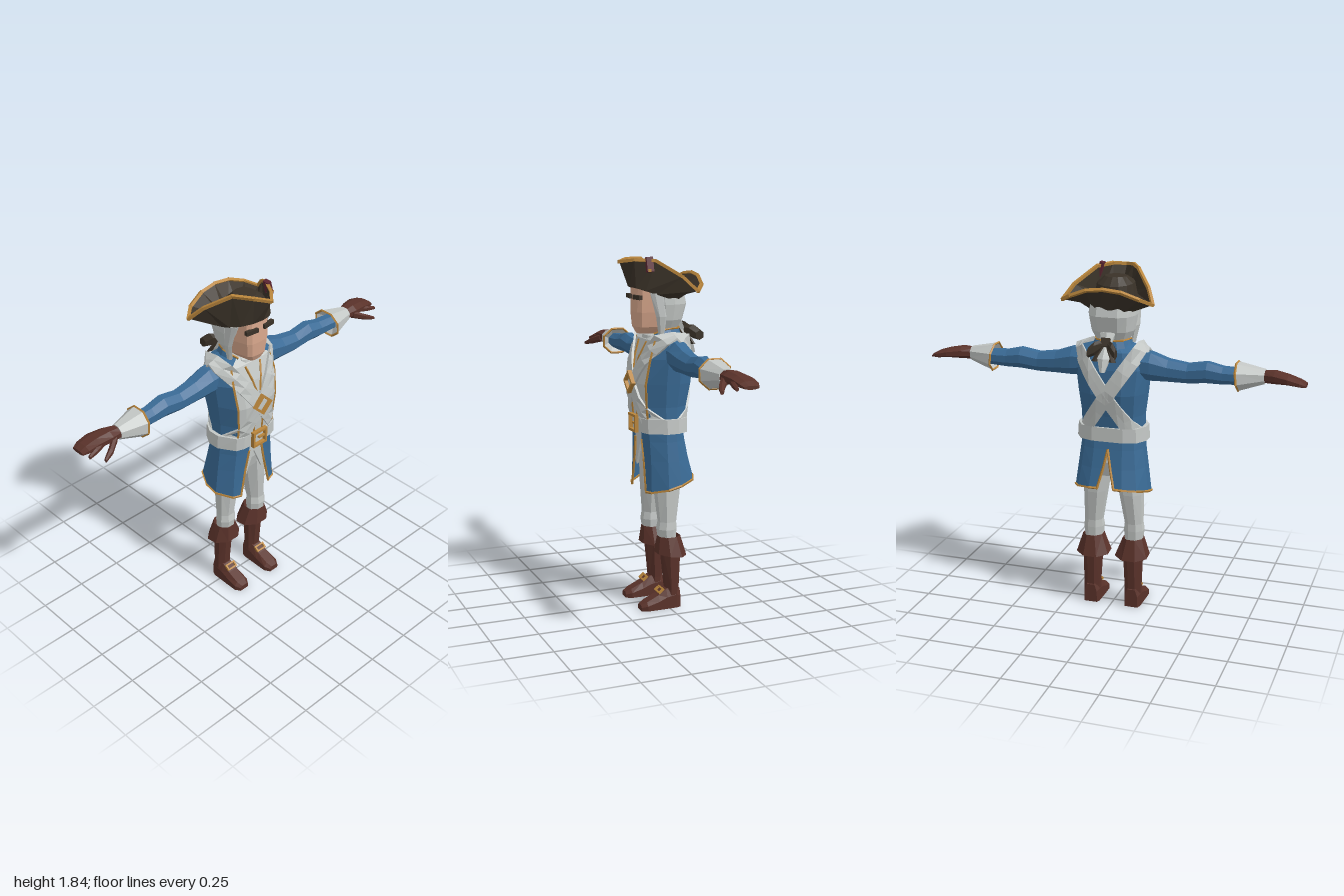
import * as THREE from 'three';
import { mergeGeometries } from 'three/addons/utils/BufferGeometryUtils.js';

const material = (name, color, double) => {
  const m = new THREE.MeshStandardMaterial({ color, flatShading: true });
  m.name = name;
  if (double) m.side = THREE.DoubleSide;
  return m;
};

// Triangles from rings of [x, y, z]; closed solids are turned to face outwards
function loft(rings, { closed = true, caps = true } = {}) {
  const tris = [], n = rings[0].length;
  for (let r = 0; r + 1 < rings.length; r++) {
    for (let i = 0; i < (closed ? n : n - 1); i++) {
      const j = (i + 1) % n, a = rings[r], b = rings[r + 1];
      tris.push([a[i], a[j], b[j]], [a[i], b[j], b[i]]);
    }
  }
  if (closed && caps) {
    const cap = (ring, flip) => {
      const c = [0, 1, 2].map(k => ring.reduce((s, p) => s + p[k], 0) / n);
      ring.forEach((p, i) => {
        const q = ring[(i + 1) % n];
        tris.push(flip ? [c, q, p] : [c, p, q]);
      });
    };
    cap(rings[0], true);
    cap(rings[rings.length - 1], false);
  }
  const V = p => new THREE.Vector3(...p);
  const volume = tris.reduce((s, t) => s + V(t[0]).dot(V(t[1]).cross(V(t[2]))), 0);
  if (closed && volume < 0) tris.forEach(t => t.reverse());
  const g = new THREE.BufferGeometry();
  g.setAttribute('position', new THREE.Float32BufferAttribute(tris.flat(2), 3));
  g.computeVertexNormals();
  return g;
}

// Mirror copy across x with the corner order put right
function mirrored(geo) {
  const g = geo.index ? geo.toNonIndexed() : geo.clone();
  const p = g.attributes.position, a = new THREE.Vector3(), b = new THREE.Vector3();
  g.scale(-1, 1, 1);
  for (let i = 0; i < p.count; i += 3) {
    a.fromBufferAttribute(p, i + 1); b.fromBufferAttribute(p, i + 2);
    p.setXYZ(i + 1, b.x, b.y, b.z); p.setXYZ(i + 2, a.x, a.y, a.z);
  }
  g.computeVertexNormals();
  return g;
}

// Thin four-sided piping along a polyline
function cord(points, r = 0.007) {
  const parts = [], up = new THREE.Vector3(0, 1, 0);
  for (let i = 0; i + 1 < points.length; i++) {
    const a = new THREE.Vector3(...points[i]), d = new THREE.Vector3(...points[i + 1]).sub(a);
    const g = new THREE.CylinderGeometry(r, r, d.length() + r * 0.6, 4);
    g.applyQuaternion(new THREE.Quaternion().setFromUnitVectors(up, d.clone().normalize()));
    g.translate(a.x + d.x / 2, a.y + d.y / 2, a.z + d.z / 2);
    parts.push(g);
  }
  return mergeGeometries(parts);
}

const circle = (n, f) => Array.from({ length: n }, (_, i) => f(((i + 0.5) / n) * Math.PI * 2));
const ringY = (y, cx, cz, rx, rz, n = 8) =>
  circle(n, t => [cx + rx * 1.06 * Math.cos(t), y, cz + rz * 1.06 * Math.sin(t)]);
const ringX = (x, cy, cz, ry, rz, n = 8) =>
  circle(n, t => [x, cy + ry * 1.06 * Math.sin(t), cz + rz * 1.06 * Math.cos(t)]);

// Body cross-section: half outline from front to back, then the mirrored half
const FRONT = [[0, 1], [0.5, 0.97], [0.72, 0.85], [1, 0.2]];
const BACK = [[0, 1], [0.45, 1], [0.8, 0.8], [1, 0.3]];
const halfSec = ([y, hx, zf, zb]) => [
  ...FRONT.map(([x, z]) => [x * hx, y, z * zf]),
  ...BACK.slice().reverse().map(([x, z]) => [x * hx, y, z * zb])];
const section = row => {
  const h = halfSec(row);
  return [...h, ...h.slice(1, -1).reverse().map(([x, y, z]) => [-x, y, z])];
};
const TORSO = [[0.95, 0.165, 0.12, -0.1], [1.08, 0.165, 0.135, -0.12], [1.2, 0.18, 0.145, -0.145],
  [1.33, 0.195, 0.12, -0.14], [1.42, 0.18, 0.085, -0.12], [1.45, 0.09, 0.05, -0.08]];

// Depth of the torso surface at x, y
function torsoZ(x, y, back) {
  y = THREE.MathUtils.clamp(y, 0.95, 1.42);
  const i = Math.min(TORSO.findIndex(r => r[0] >= y - 1e-6) || 1, 4), a = TORSO[i - 1], b = TORSO[i];
  const t = (y - a[0]) / (b[0] - a[0]), mix = k => a[k] + (b[k] - a[k]) * t;
  const f = Math.min(Math.abs(x) / mix(1), 1), tab = back ? BACK : FRONT;
  const j = Math.max(1, tab.findIndex(p => p[0] >= f - 1e-6)), p = tab[j - 1], q = tab[j];
  return mix(back ? 3 : 2) * (p[1] + ((q[1] - p[1]) * (f - p[0])) / (q[0] - p[0]));
}

function frame(w, h, bar, depth) {
  const box = (a, b, P) => new P([[-a, -b], [a, -b], [a, b], [-a, b]].map(p => new THREE.Vector2(...p)));
  const s = box(w, h, THREE.Shape);
  s.holes.push(box(w - bar, h - bar, THREE.Path));
  return new THREE.ExtrudeGeometry(s, { depth, bevelEnabled: false });
}

export function createModel() {
  const root = new THREE.Group();
  root.name = 'uniformedFigure';
  const blue = material('coatBlue', 0x3a6b96, true), white = material('paleCloth', 0xc3c7c5, true);
  const gold = material('goldTrim', 0xba863c), leather = material('brownLeather', 0x5a322a);
  const dark = material('darkFelt', 0x3a3228), skin = material('skin', 0xd8a78c);
  const maroon = material('maroon', 0x5c2632);
  const add = (name, geo, mat) => {
    const m = new THREE.Mesh(geo, mat);
    m.name = name;
    root.add(m);
    return m;
  };
  const pair = (name, geo, mat) => {
    add(name + 'Left', geo, mat);
    add(name + 'Right', mirrored(geo), mat);
  };

  // Coat body and waistcoat
  const rows = TORSO.map(section);
  add('coatBody', loft(rows.map(r => r.slice(2, 13)), { closed: false }), blue);
  add('waistcoat', loft(rows.map(r => [r[12], r[13], r[0], r[1], r[2]]), { closed: false }), white);
  pair('lapelTrim', cord(rows.slice(0, 5).map(r => r[2])), gold);
  const onChest = (x, y) => [x, y, torsoZ(x, y) + 0.003];
  pair('waistcoatTrim', cord([onChest(0.028, 1.0), onChest(0.028, 1.13)], 0.006), gold);
  pair('neckTrim', cord([onChest(0.05, 1.41), onChest(0.03, 1.34), onChest(0.012, 1.27)], 0.006), gold);

  // Coat skirt, open at the front and slit at the back
  const skirt = [[0.96, 0.165, 0.12, -0.1, 0.04, 0], [0.9, 0.17, 0.117, -0.11, 0.045, 0],
    [0.8, 0.183, 0.113, -0.13, 0.065, 0.02], [0.66, 0.2, 0.115, -0.155, 0.1, 0.045]].map((r, k) => {
    const h = halfSec(r).slice(1);
    h[0][0] = r[4];
    h[h.length - 1][0] = r[5];
    return h.map(([x, y, z]) => [x, k === 3 ? y - 0.25 * z : y, z]);
  });
  pair('coatSkirt', loft(skirt, { closed: false }), blue);
  pair('skirtFrontTrim', cord(skirt.slice(1).map(r => r[0])), gold);
  pair('skirtSlitTrim', cord(skirt.slice(1).map(r => r[r.length - 1])), gold);
  pair('skirtHemTrim', cord(skirt[3]), gold);

  // Crossed straps, running over the shoulders to the back
  const strap = [];
  const strapRing = (x, y, back, lift) => [-1, 0, 1, 1, 0, -1].map((s, i) => {
    const px = x + s * 0.031, py = y - s * 0.021, out = (back ? -1 : 1) * (i < 3 ? lift : 0.001);
    return [px, py, torsoZ(px, py, back) + out];
  });
  for (let i = 0; i <= 8; i++) strap.push(strapRing(-0.13 + 0.295 * i / 8, 1.0 + 0.43 * i / 8, false, 0.014));
  strap.push([-1, 0, 1, 1, 0, -1].map((s, i) => [0.165 + s * 0.031, 1.452 - s * 0.012 - (i < 3 ? 0 : 0.012), -0.02]));
  for (let i = 8; i >= 0; i--) strap.push(strapRing(-0.13 + 0.295 * i / 8, 1.0 + 0.43 * i / 8, true, 0.014));
  pair('crossStrap', loft(strap), white);
  const diamond = add('chestBuckle', frame(0.043, 0.043, 0.013, 0.022), gold);
  diamond.position.set(0, 1.2, 0.152);
  diamond.rotation.z = Math.PI / 4;

  // Belt and buckle
  add('belt', loft([section([0.945, 0.188, 0.132, -0.122]), section([1.02, 0.183, 0.135, -0.122])]), white);
  add('beltBuckle', frame(0.048, 0.046, 0.013, 0.02), gold).position.set(0, 0.985, 0.132);
  add('beltBuckleTongue', new THREE.BoxGeometry(0.05, 0.01, 0.012), gold).position.set(0.02, 0.985, 0.142);

  // Waistcoat tails, hips and legs
  const tail = new THREE.Shape([[0, 0.96], [0.08, 0.96], [0.085, 0.8], [0.055, 0.75], [0, 0.88]]
    .map(p => new THREE.Vector2(...p)));
  pair('waistcoatTail', new THREE.ExtrudeGeometry(tail, { depth: 0.012, bevelEnabled: false })
    .translate(0, 0, 0.092), white);
  add('hips', loft([section([0.74, 0.12, 0.06, -0.07]), section([0.82, 0.145, 0.085, -0.09]),
    section([0.96, 0.14, 0.09, -0.08])]), white);
  pair('leg', loft([ringY(0.8, 0.082, -0.005, 0.072, 0.075), ringY(0.64, 0.098, -0.005, 0.062, 0.066),
    ringY(0.47, 0.112, 0, 0.048, 0.046), ringY(0.43, 0.112, 0.003, 0.053, 0.05),
    ringY(0.36, 0.112, 0, 0.046, 0.043)]), white);

  // Boots
  pair('bootShaft', loft([ringY(0.03, 0.115, -0.022, 0.045, 0.037), ringY(0.1, 0.115, -0.024, 0.044, 0.036),
    ringY(0.32, 0.112, -0.018, 0.052, 0.052)]), leather);
  const cuffHem = (r, y) => ringY(y, 0.108, -0.02, 0.09 * r, 0.08 * r).map(([x, h, z]) => [x, h + 0.12 * z, z]);
  pair('bootCuff', loft([ringY(0.33, 0.112, -0.01, 0.045, 0.04), ringY(0.39, 0.112, -0.01, 0.054, 0.058),
    cuffHem(1, 0.292), cuffHem(0.55, 0.3)]), leather);
  const footRing = (z, w, h) => [[-w, 0], [w, 0], [w, h * 0.6], [w * 0.6, h], [-w * 0.6, h], [-w, h * 0.6]]
    .map(([x, y]) => [0.115 + x, y, z]);
  pair('bootFoot', loft([footRing(-0.063, 0.035, 0.1), footRing(-0.04, 0.044, 0.12), footRing(0.015, 0.045, 0.105),
    footRing(0.06, 0.046, 0.075), footRing(0.125, 0.046, 0.045), footRing(0.155, 0.028, 0.03)]), leather);
  pair('bootBuckle', frame(0.032, 0.018, 0.009, 0.012).rotateX(-0.9).translate(0.113, 0.092, 0.04), gold);

  // Sleeves, cuffs and gloves
  pair('sleeve', loft([ringX(0.15, 1.35, -0.03, 0.07, 0.065), ringX(0.21, 1.345, -0.03, 0.073, 0.065),
    ringX(0.3, 1.33, -0.028, 0.057, 0.056), ringX(0.4, 1.322, -0.025, 0.05, 0.05),
    ringX(0.5, 1.335, -0.025, 0.054, 0.05), ringX(0.58, 1.325, -0.022, 0.045, 0.045),
    ringX(0.68, 1.325, -0.018, 0.04, 0.045)]), blue);
  const cuffEdge = ringX(0.655, 1.325, -0.015, 0.07, 0.08).map(([x, y, z]) => [x - (y - 1.325) * 0.1, y, z]);
  pair('sleeveCuff', loft([ringX(0.69, 1.325, -0.015, 0.035, 0.04), cuffEdge,
    ringX(0.79, 1.332, -0.01, 0.036, 0.038)]), white);
  pair('cuffTrim', cord([...cuffEdge, cuffEdge[0]], 0.006), gold);
  pair('glovePalm', loft([ringX(0.775, 1.332, -0.01, 0.03, 0.032), ringX(0.84, 1.336, -0.018, 0.032, 0.05),
    ringX(0.91, 1.332, -0.032, 0.024, 0.055), ringX(0.97, 1.32, -0.036, 0.018, 0.05),
    ringX(1, 1.312, -0.036, 0.009, 0.038)]), leather);
  pair('gloveFinger', loft([ringX(0.88, 1.325, 0.0, 0.017, 0.018, 6), ringX(0.94, 1.316, 0.022, 0.015, 0.014, 6),
    ringX(0.985, 1.306, 0.03, 0.009, 0.009, 6)]), leather);
  pair('gloveThumb', loft([ringX(0.82, 1.325, 0.012, 0.022, 0.02, 6), ringX(0.88, 1.302, 0.055, 0.017, 0.017, 6),
    ringX(0.93, 1.285, 0.077, 0.009, 0.009, 6)]), leather);

  // Neck, neckcloth and collar
  add('neck', loft([ringY(1.4, 0, -0.01, 0.055, 0.055), ringY(1.52, 0, 0, 0.055, 0.055)]), skin);
  add('neckcloth', loft([section([1.39, 0.075, 0.09, -0.06]), section([1.44, 0.072, 0.078, -0.06]),
    section([1.455, 0.055, 0.06, -0.05])]), white);
  const collar = [section([1.42, 0.115, 0.075, -0.11]), section([1.475, 0.088, 0.06, -0.095])].map(r => r.slice(2, 13));
  collar[1].forEach(p => { p[1] -= Math.max(0, p[2]) * 0.5; });
  add('collar', loft(collar, { closed: false }), blue);
  add('collarTrim', cord(collar[1], 0.006), gold);

  // Head, hair and brows
  add('head', loft([section([1.45, 0.05, 0.12, -0.01]), section([1.485, 0.083, 0.136, -0.03]),
    section([1.56, 0.095, 0.142, -0.06]), section([1.69, 0.1, 0.138, -0.08])]), skin);
  add('hair', loft([section([1.47, 0.085, 0.01, -0.085]), section([1.52, 0.112, 0.04, -0.11]),
    section([1.6, 0.124, 0.07, -0.13]), section([1.68, 0.12, 0.1, -0.11])]), white);
  pair('sideLock', loft([ringY(1.45, 0.095, 0.025, 0.012, 0.015, 6), ringY(1.54, 0.112, 0.03, 0.014, 0.028, 6),
    ringY(1.66, 0.112, 0.05, 0.014, 0.04, 6)]), white);
  pair('brow', new THREE.BoxGeometry(0.07, 0.022, 0.02).rotateY(0.12).translate(0.055, 1.637, 0.138), dark);
  add('ponytail', loft([ringY(1.52, 0, -0.09, 0.045, 0.03, 6), ringY(1.46, 0, -0.125, 0.025, 0.022, 6),
    ringY(1.4, 0, -0.165, 0.035, 0.025, 6), ringY(1.335, 0, -0.195, 0.014, 0.012, 6)]), white);

  // Hair bow
  add('bowKnot', new THREE.BoxGeometry(0.045, 0.045, 0.05).rotateX(0.5), dark).position.set(0, 1.468, -0.13);
  pair('bowLoop', loft([ringX(0.01, 1.465, -0.135, 0.015, 0.018, 6), ringX(0.045, 1.45, -0.175, 0.034, 0.028, 6),
    ringX(0.072, 1.432, -0.2, 0.024, 0.024, 6)]), dark);
  pair('bowTail', loft([ringY(1.46, 0.012, -0.14, 0.014, 0.01, 6), ringY(1.385, 0.045, -0.175, 0.02, 0.01, 6)]), dark);

  // Three-cornered hat with gold brim edge
  const half = [[0, 1.815, 0.215], [0.055, 1.825, 0.155], [0.11, 1.822, 0.06], [0.195, 1.745, -0.05],
    [0.236, 1.675, -0.115], [0.18, 1.705, -0.16], [0.09, 1.74, -0.18], [0, 1.75, -0.185]];
  const rim = [...half, ...half.slice(1, -1).reverse().map(([x, y, z]) => [-x, y, z])];
  const hatRing = (r, y, tilt) => rim.map((_, i) => {
    const t = (i / rim.length) * Math.PI * 2, z = 0.03 + 0.13 * r * Math.cos(t);
    return [0.128 * r * Math.sin(t), y + tilt * z, z];
  });
  add('hat', loft([hatRing(1, 1.633, 0.35), rim, hatRing(0.86, 1.675, 0.3), hatRing(0.76, 1.75, 0.1),
    hatRing(0.45, 1.785, 0)]), dark);
  add('hatTrim', cord([...rim, rim[0]], 0.011), gold);
  add('hatCockade', new THREE.BoxGeometry(0.022, 0.075, 0.036).rotateZ(0.25), maroon).position.set(0.1, 1.803, 0.09);
  add('hatButton', new THREE.BoxGeometry(0.012, 0.014, 0.014), gold).position.set(0.118, 1.775, 0.098);

  return root;
}
